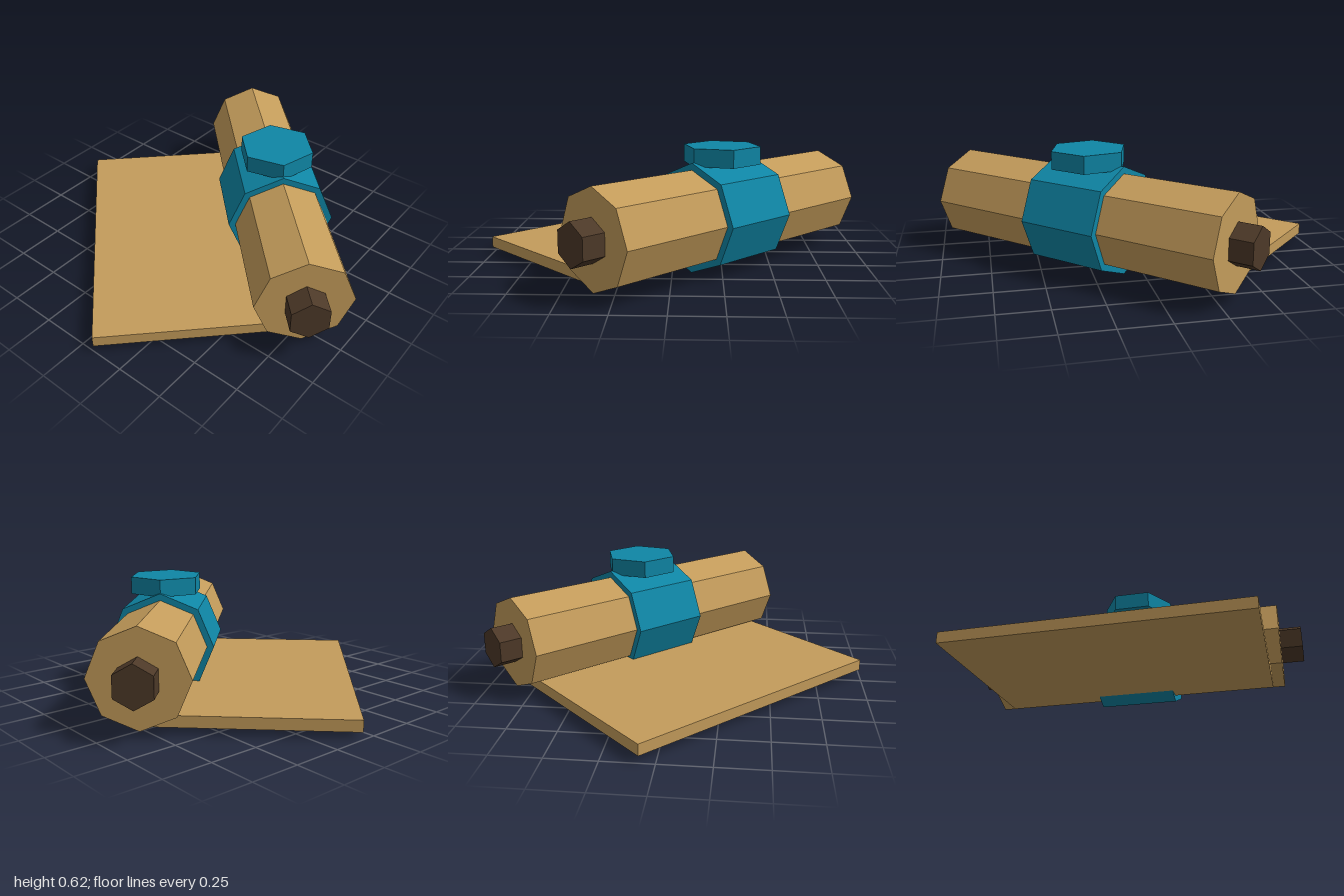
import * as THREE from 'three';

export function createModel() {
  const mat = (name, color) => Object.assign(
    new THREE.MeshStandardMaterial({ color, flatShading: true }), { name });
  const parchment = mat('parchment', 0xc49c5b);
  const teal = mat('teal wax', 0x0f86a5);
  const wood = mat('dark wood', 0x4d3928);

  const model = new THREE.Group();
  model.name = 'scroll';
  // Everything is laid out along x, then turned diagonally
  const scroll = new THREE.Group();
  scroll.name = 'scrollBody';
  scroll.rotation.y = Math.PI / 4;
  model.add(scroll);

  const add = (name, geometry, material, x, y, z) => {
    const mesh = new THREE.Mesh(geometry, material);
    mesh.name = name;
    mesh.position.set(x, y, z);
    scroll.add(mesh);
  };
  // Prism lying along x with a corner at the top
  const prism = (radius, length, sides) =>
    new THREE.CylinderGeometry(radius, radius, length, sides)
      .rotateY(Math.PI / 2).rotateZ(Math.PI / 2);

  const axisY = 0.278, axisZ = 0.347;

  // Rolled paper and its unrolled sheet
  add('roll', prism(0.243, 1.645, 8), parchment, 0, axisY, axisZ);
  add('sheet', new THREE.BoxGeometry(1.52, 0.058, 1.0), parchment, 0, 0.064, -0.154);

  // Rod ends
  for (const side of [-1, 1]) {
    add(side > 0 ? 'rodEndLeft' : 'rodEndRight', prism(0.106, 0.2, 6), wood, side * 0.84, axisY, axisZ);
  }

  // Ribbon band and wax seal
  add('band', prism(0.278, 0.424, 8), teal, 0, axisY, axisZ);
  add('seal', new THREE.CylinderGeometry(0.198, 0.198, 0.09, 6).rotateY(Math.PI / 2),
    teal, 0, 0.58, axisZ);

  return model;
}
